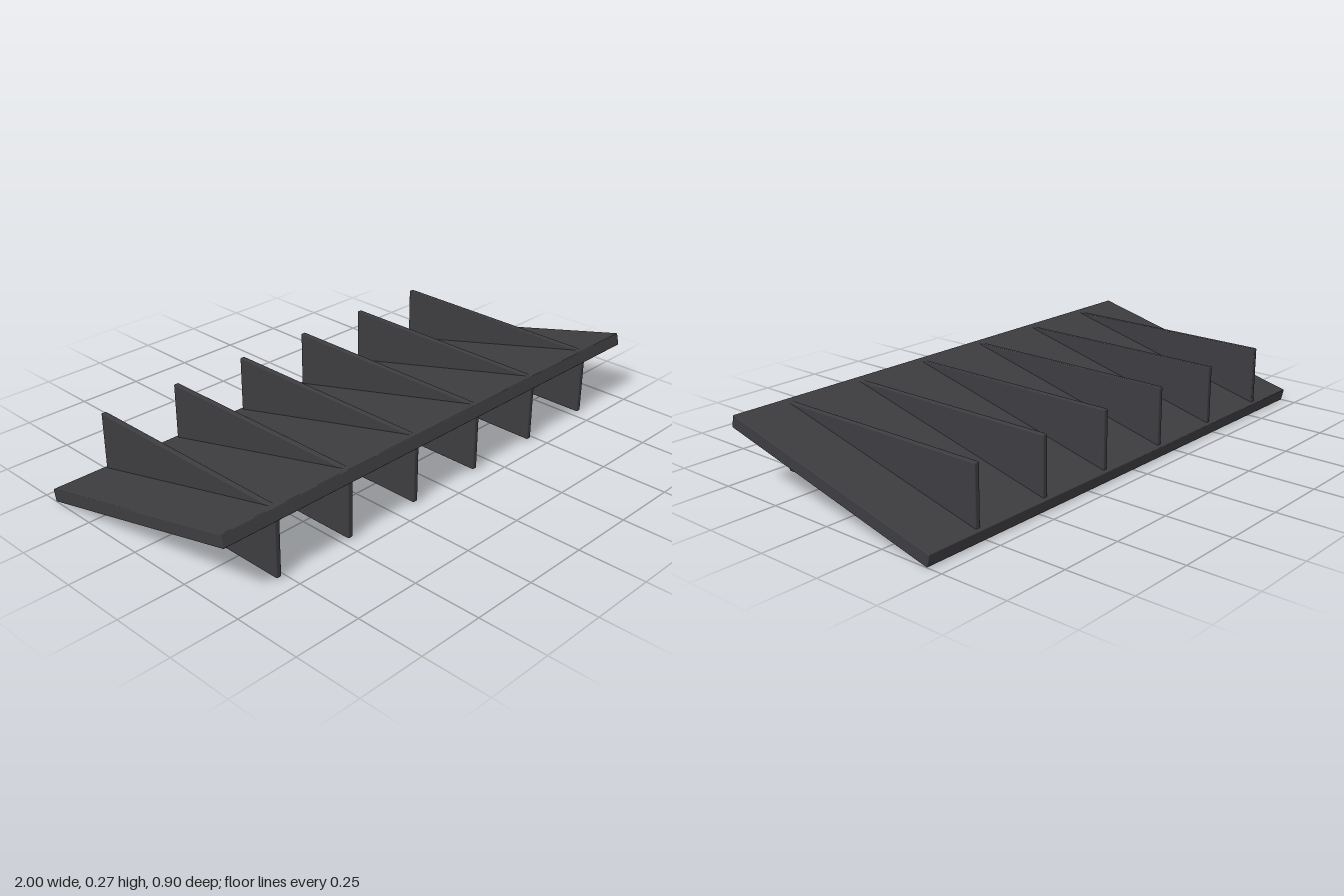
import * as THREE from 'three';
import { RoundedBoxGeometry } from 'three/addons/geometries/RoundedBoxGeometry.js';

export function createModel() {
  const group = new THREE.Group();
  const material = new THREE.MeshStandardMaterial({ color: 0x3d3c40 });

  // Tilted slat, high at the front
  const slat = new THREE.Mesh(new RoundedBoxGeometry(2, 0.046, 0.919, 2, 0.003), material);
  slat.name = 'slat';
  slat.position.y = 0.135;
  slat.rotation.x = THREE.MathUtils.degToRad(-14);
  group.add(slat);

  // Upright fins crossing the slat at even spacing
  const finGeometry = new RoundedBoxGeometry(0.02, 0.253, 0.877, 2, 0.004);
  for (let i = 0; i < 6; i++) {
    const fin = new THREE.Mesh(finGeometry, material);
    fin.name = `fin${i + 1}`;
    fin.position.set((i - 2.5) * 0.312, 0.1365, 0.001);
    group.add(fin);
  }
  return group;
}
